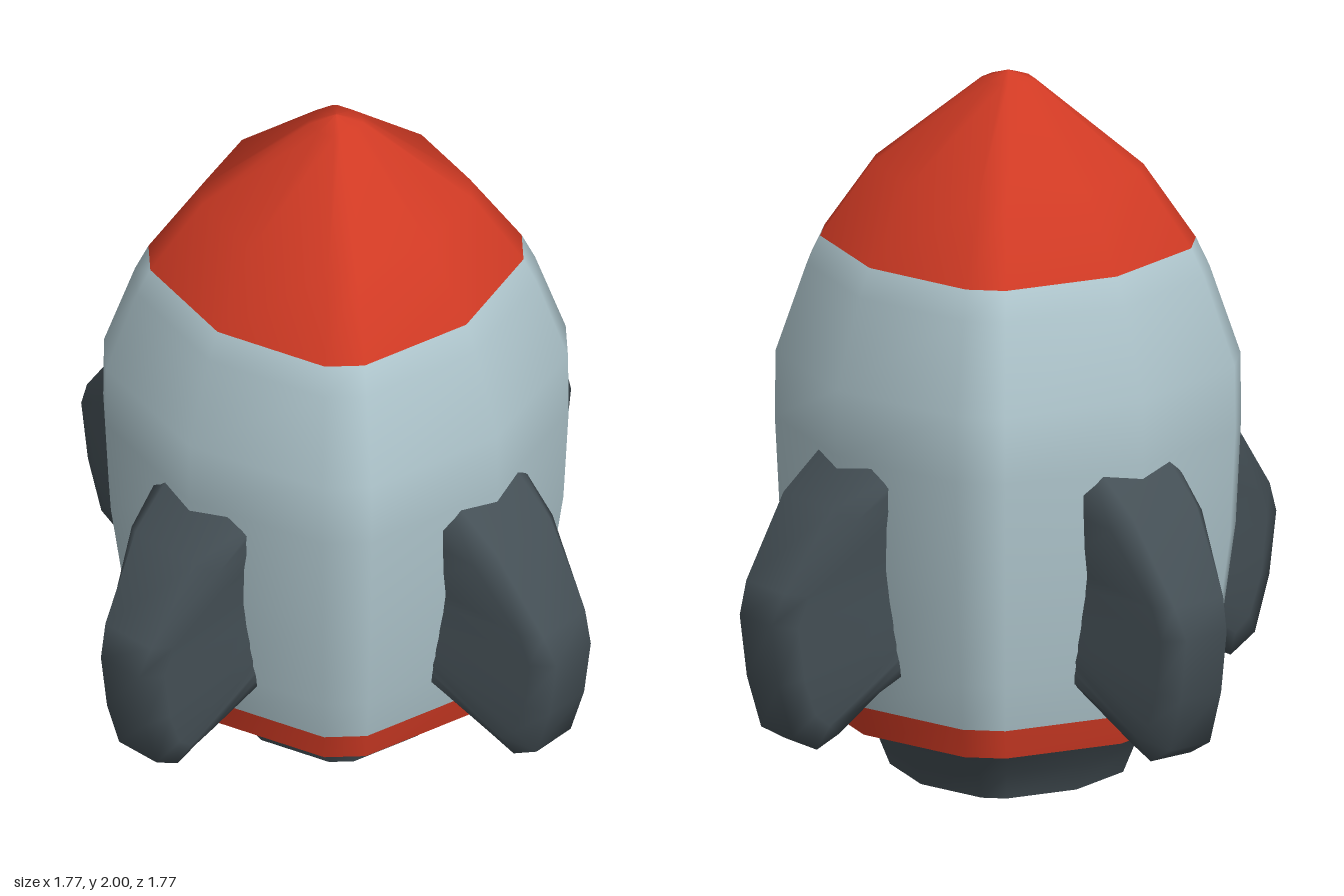
import * as THREE from 'three';

const red = new THREE.MeshStandardMaterial({ color: 0xd03a24 });
red.name = 'red paint';
const hull = new THREE.MeshStandardMaterial({ color: 0xafc6cd });
hull.name = 'pale blue hull';
const dark = new THREE.MeshStandardMaterial({ color: 0x444f55 });
dark.name = 'dark grey';

// Twelve-sided outline: a square with bowed sides and cut corners
const outline = [];
for (let q = 0; q < 4; q++) {
  for (let [x, z] of [[0, 1], [0.67, 0.83], [0.83, 0.67]]) {
    for (let n = 0; n < q; n++) [x, z] = [z, -x];
    outline.push([x, z]);
  }
}

// Grid of rows of points joined by quads; wrap closes each row.
function gridGeometry(rows, wrap) {
  const cols = rows[0].length;
  const last = wrap ? cols : cols - 1;
  const index = [];
  for (let j = 0; j < rows.length - 1; j++) {
    for (let i = 0; i < last; i++) {
      const a = j * cols + i, b = j * cols + (i + 1) % cols;
      index.push(a, b, b + cols, a, b + cols, a + cols);
    }
  }
  const geometry = new THREE.BufferGeometry();
  geometry.setAttribute('position', new THREE.Float32BufferAttribute(rows.flat(2), 3));
  geometry.setIndex(index);
  geometry.computeVertexNormals();
  return geometry;
}

// Stack of outline rings from a [radius, height] profile
function loft(profile) {
  return gridGeometry(profile.map(([r, y]) => outline.map(([x, z]) => [x * r, y, z * r])), true);
}

function addMesh(parent, name, geometry, material) {
  const mesh = new THREE.Mesh(geometry, material);
  mesh.name = name;
  parent.add(mesh);
  return mesh;
}

// One fin pointing to +z: rows run from top to bottom, columns from +x to -x
function finGeometry() {
  // Outer edge: [distance, height, half width]
  const edge = [
    [0.50, 1.04, 0.12], [0.70, 0.89, 0.11], [0.85, 0.67, 0.085], [0.885, 0.58, 0.07],
    [0.86, 0.40, 0.07], [0.81, 0.245, 0.07], [0.725, 0.195, 0.07], [0.655, 0.23, 0.08],
    [0.45, 0.38, 0.10],
  ];
  // Bevel between edge and side
  const bevel = [
    [0.50, 0.98, 0.18], [0.66, 0.86, 0.16], [0.79, 0.66, 0.118], [0.82, 0.57, 0.11],
    [0.80, 0.42, 0.11], [0.76, 0.31, 0.11], [0.71, 0.27, 0.11], [0.65, 0.30, 0.13],
    [0.45, 0.42, 0.18],
  ];
  // Root buried in the hull
  const root = [
    [0.46, 0.97, 0.18], [0.46, 0.88, 0.178], [0.46, 0.72, 0.168], [0.46, 0.66, 0.168],
    [0.46, 0.58, 0.172], [0.46, 0.52, 0.176], [0.46, 0.48, 0.18], [0.46, 0.45, 0.18],
    [0.44, 0.42, 0.18],
  ];
  const rows = edge.map((_, k) => {
    const half = [root[k], bevel[k], edge[k]];
    return [
      ...half.map(([r, y, w]) => [w, y, r]),
      ...half.reverse().map(([r, y, w]) => [-w, y, r]),
    ];
  });
  return gridGeometry(rows, false);
}

export function createModel() {
  const model = new THREE.Group();
  model.name = 'rocket';

  // Hull with painted tail band and nose, shaded as one smooth skin
  const profile = [
    [0.505, 0.18], [0.524, 0.265], [0.55, 0.4], [0.588, 0.7], [0.602, 1.0], [0.6, 1.19],
    [0.52, 1.44], [0.485, 1.52], [0.35, 1.73], [0.07, 1.975], [0, 2],
  ];
  const skin = loft(profile);
  const perRing = outline.length * 6;
  skin.addGroup(0, perRing, 0);
  skin.addGroup(perRing, perRing * 6, 1);
  skin.addGroup(perRing * 7, perRing * 3, 0);
  addMesh(model, 'hull', skin, [red, hull]);
  addMesh(model, 'hullUnderside', loft([[0, 0.18], [0.505, 0.18]]), red);

  // Engine nozzle, hollow from below
  const nozzle = new THREE.Group();
  nozzle.name = 'nozzle';
  addMesh(nozzle, 'nozzleOutside', loft([[0.305, 0], [0.335, 0.08], [0.41, 0.18]]), dark);
  addMesh(nozzle, 'nozzleInside', loft([[0, 0.15], [0.2, 0.13], [0.305, 0]]), dark);
  model.add(nozzle);

  // Four fins
  const fin = finGeometry();
  ['front', 'left', 'back', 'right'].forEach((side, i) => {
    addMesh(model, side + 'Fin', fin, dark).rotation.y = i * Math.PI / 2;
  });
  return model;
}
